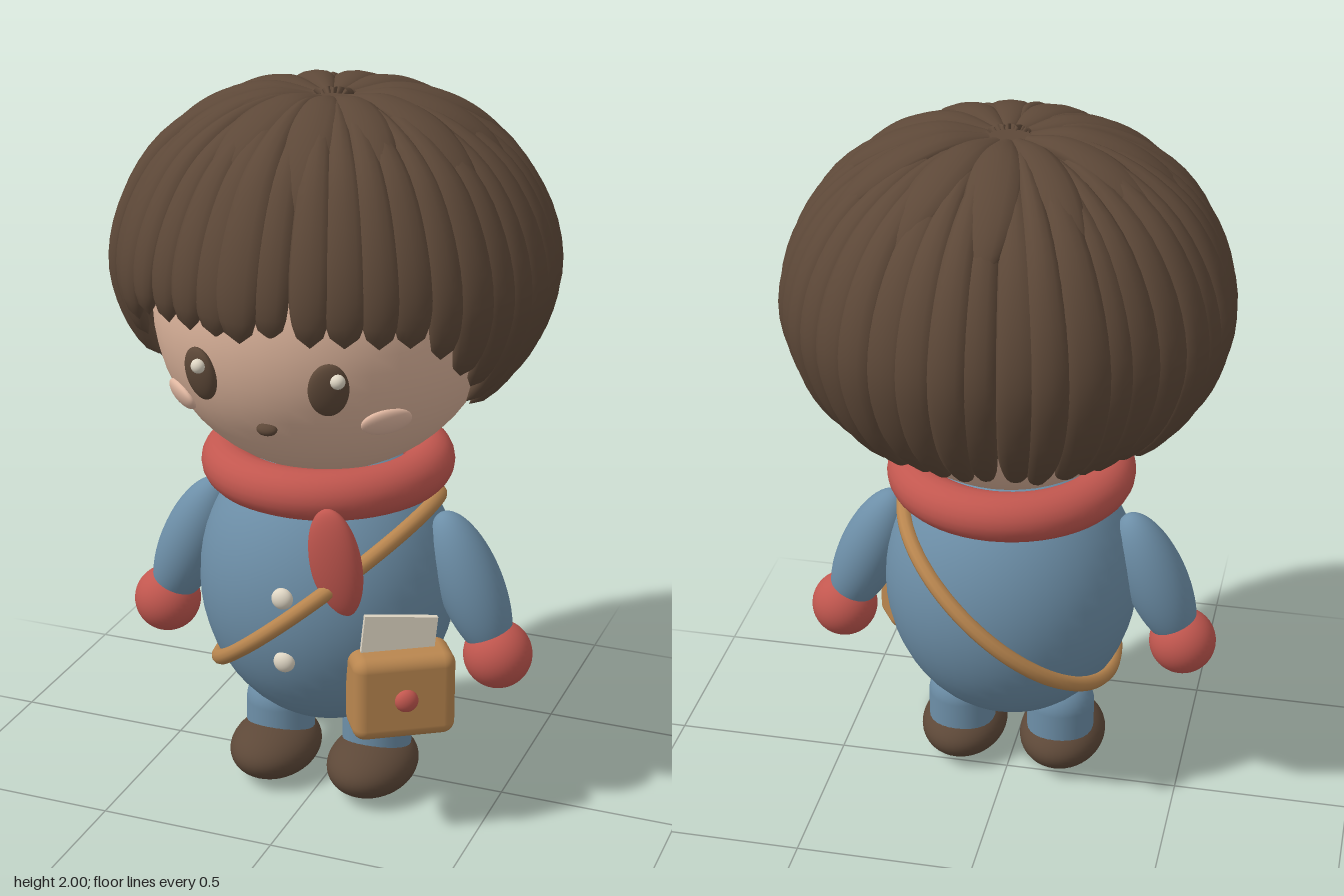
import * as THREE from 'three';
import { RoundedBoxGeometry } from 'three/addons/geometries/RoundedBoxGeometry.js';

const material = (name, color) => {
  const m = new THREE.MeshStandardMaterial({ color });
  m.name = name;
  return m;
};

export function createModel() {
  const brown = material('dark brown', 0x5d4838);
  const skin = material('skin', 0xd9b199);
  const blush = material('blush', 0xdfb6a0);
  const blue = material('dusty blue', 0x6d8fa8);
  const red = material('scarf red', 0xc2574f);
  const tan = material('leather tan', 0xb9864f);
  const cream = material('cream', 0xdfd6c4);

  const model = new THREE.Group();
  model.name = 'figure';
  const add = (name, geometry, mat, pos, parent = model) => {
    const mesh = new THREE.Mesh(geometry, mat);
    mesh.name = name;
    mesh.position.set(...pos);
    parent.add(mesh);
    return mesh;
  };
  const ball = new THREE.SphereGeometry(1, 40, 28);
  const ellipsoid = (name, mat, pos, radii, parent) => {
    const mesh = add(name, ball, mat, pos, parent);
    mesh.scale.set(...radii);
    return mesh;
  };
  const Z = 0.065; // depth of the body axis

  // Body and head
  const headPos = [0, 1.43, 0.07], headR = [0.46, 0.45, 0.475];
  ellipsoid('body', blue, [0, 0.635, Z], [0.36, 0.42, 0.34]);
  ellipsoid('head', skin, headPos, headR);

  // Places a flattened ball on the face, turned along the surface
  const onFace = (name, mat, x, y, radii, lift = 0) => {
    const u = x / headR[0], v = (y - headPos[1]) / headR[1];
    const w = Math.sqrt(1 - u * u - v * v);
    const n = new THREE.Vector3(u / headR[0], v / headR[1], w / headR[2]).normalize();
    const p = new THREE.Vector3(x, y, headPos[2] + w * headR[2]).addScaledVector(n, lift);
    const mesh = ellipsoid(name, mat, p.toArray(), radii);
    mesh.rotation.set(-Math.asin(n.y), Math.atan2(n.x, n.z), 0, 'YXZ');
  };
  onFace('nose', brown, 0, 1.215, [0.028, 0.016, 0.018], 0.004);

  // Mirrored parts
  for (const s of [-1, 1]) {
    const side = s > 0 ? 'left' : 'right';
    onFace(side + 'Eye', brown, s * 0.172, 1.347, [0.052, 0.074, 0.024], 0.004);
    onFace(side + 'EyeHighlight', cream, s * 0.175 + 0.018, 1.38, [0.019, 0.019, 0.018], 0.026);
    onFace(side + 'Cheek', blush, s * 0.283, 1.235, [0.07, 0.042, 0.02]);
    ellipsoid(side + 'Arm', blue, [s * 0.415, 0.665, Z], [0.09, 0.22, 0.09]).rotation.z = s * 0.4;
    ellipsoid(side + 'Hand', red, [s * 0.497, 0.473, Z], [0.095, 0.095, 0.095]);
    add(side + 'Leg', new THREE.CapsuleGeometry(0.098, 0.1, 10, 28), blue, [s * 0.147, 0.17, Z]);
    ellipsoid(side + 'Shoe', brown, [s * 0.148, 0.09, 0.1], [0.125, 0.085, 0.165]);
  }

  // Scarf
  const scarf = add('scarfRing', new THREE.TorusGeometry(0.278, 0.068, 20, 56), red, [0, 0.983, Z]);
  scarf.rotation.x = Math.PI / 2;
  ellipsoid('scarfTail', red, [0.14, 0.812, 0.37], [0.073, 0.163, 0.04]).rotation.set(0.13, 0, 0.1);

  // Coat buttons
  for (const [y, z] of [[0.7, 0.4], [0.51, 0.39]]) {
    ellipsoid('coatButton', cream, [0, y, z], [0.03, 0.03, 0.022]);
  }

  // Shoulder strap: an oval loop lying in one tilted plane
  const tilt = Math.atan2(0.535, 0.63);
  const loop = [];
  for (let i = 0; i < 40; i++) {
    const a = (i / 40) * Math.PI * 2, r = 0.392 * Math.cos(a);
    loop.push(new THREE.Vector3(r * Math.cos(tilt), 0.63 + r * Math.sin(tilt), Z + 0.348 * Math.sin(a)));
  }
  const strapPath = new THREE.CatmullRomCurve3(loop, true);
  add('strap', new THREE.TubeGeometry(strapPath, 90, 0.022, 10, true), tan, [0, 0, 0]);

  // Bag with a clasp and papers
  const bag = new THREE.Group();
  bag.name = 'bag';
  bag.position.set(0.297, 0.44, 0.295);
  bag.rotation.y = 0.57;
  model.add(bag);
  add('bagBody', new RoundedBoxGeometry(0.28, 0.24, 0.145, 5, 0.035), tan, [0, 0, 0], bag);
  ellipsoid('bagClasp', red, [0, 0, 0.074], [0.032, 0.032, 0.022], bag);
  add('paper', new THREE.BoxGeometry(0.2, 0.2, 0.016), cream, [-0.01, 0.115, 0], bag).rotation.z = -0.1;

  // Hair: meridian profile (radius, height) shared by all locks
  const profile = new THREE.SplineCurve([
    [0.06, 1.957], [0.18, 1.968], [0.33, 1.92], [0.46, 1.822], [0.545, 1.68],
    [0.577, 1.53], [0.547, 1.39], [0.482, 1.275], [0.39, 1.175],
  ].map(([r, y]) => new THREE.Vector2(r, y)));
  let seed = 7;
  const rand = () => ((seed = (seed * 16807) % 2147483647) / 2147483647);

  const hair = new THREE.Group();
  hair.name = 'hair';
  model.add(hair);

  // Lofts one lock down the profile at angle phi (0 is the front)
  const addLock = (name, phi, end, width, depth, lift) => {
    const rows = 26, cols = 12, pos = [], index = [];
    for (let i = 0; i <= rows; i++) {
      const s = i / rows;
      const p = profile.getPoint(s * end), t = profile.getTangent(s * end);
      const w = width(s, p.x), d = depth(s);
      for (let j = 0; j < cols; j++) {
        const q = (j / cols) * Math.PI * 2;
        const out = lift(s) + d * Math.cos(q), b = w * Math.sin(q);
        const r = p.x - t.y * out, y = p.y + t.x * out;
        pos.push(
          r * Math.sin(phi) + b * Math.cos(phi), y,
          0.945 * (r * Math.cos(phi) - b * Math.sin(phi)) - 0.03 * Math.min(1, p.x / 0.5) + 0.03,
        );
        if (i < rows) {
          const a = i * cols + j, c = i * cols + ((j + 1) % cols);
          index.push(a, a + cols, c, c, a + cols, c + cols);
        }
      }
    }
    const g = new THREE.BufferGeometry();
    g.setAttribute('position', new THREE.Float32BufferAttribute(pos, 3));
    g.setIndex(index);
    g.computeVertexNormals();
    add(name, g, brown, [0, 0, 0], hair);
  };

  // Finds where the profile falls to a height
  const paramAt = (y) => {
    let t = 0.3;
    while (t < 1 && profile.getPoint(t).y > y) t += 0.004;
    return Math.min(t, 1);
  };
  // Hem height: short fringe, falling to long sides and back
  const hem = (deg) => {
    if (deg < 44) return 1.46;
    if (deg < 76) return 1.43 - ((deg - 44) / 32) * 0.23;
    return 1.195 - ((deg - 76) / 104) * 0.02;
  };
  const tip = (s) => Math.sqrt(Math.max(0, 1 - s ** 12));

  // Long locks all around
  const locks = 42;
  for (let i = 0; i < locks; i++) {
    const phi = ((i + 0.5) / locks) * 2 * Math.PI + (rand() - 0.5) * 0.04;
    const deg = Math.abs(((phi * 180) / Math.PI + 180) % 360 - 180);
    const end = paramAt(hem(deg) + (rand() - 0.5) * 0.025);
    const k = 1.2 + rand() * 0.3, raise = (rand() - 0.5) * 0.016;
    addLock('hairLock', phi, end,
      (s, r) => (r * Math.PI / locks) * k * tip(s),
      (s) => 0.03 * Math.min(1, 0.5 + s * 3) * tip(s),
      (s) => raise - 0.014 * Math.max(0, 1 - s * 2));
  }

  // Broad leaf-shaped locks spreading from the crown
  const topLocks = 12;
  for (let i = 0; i < topLocks; i++) {
    const size = 0.06 + rand() * 0.015;
    addLock('topLock', ((i + rand() * 0.35) / topLocks) * 2 * Math.PI, 0.36 + rand() * 0.08,
      (s) => size * Math.sin(Math.PI * (0.08 + 0.92 * s ** 1.3)) ** 0.75,
      (s) => 0.03 * Math.sin(Math.PI * (0.2 + 0.8 * s ** 1.6)) ** 0.6,
      (s) => 0.006 * (1 - s));
  }
  add('crown', new THREE.CylinderGeometry(0.065, 0.065, 0.05, 7), brown, [0, 1.94, 0.03], hair);

  return model;
}
